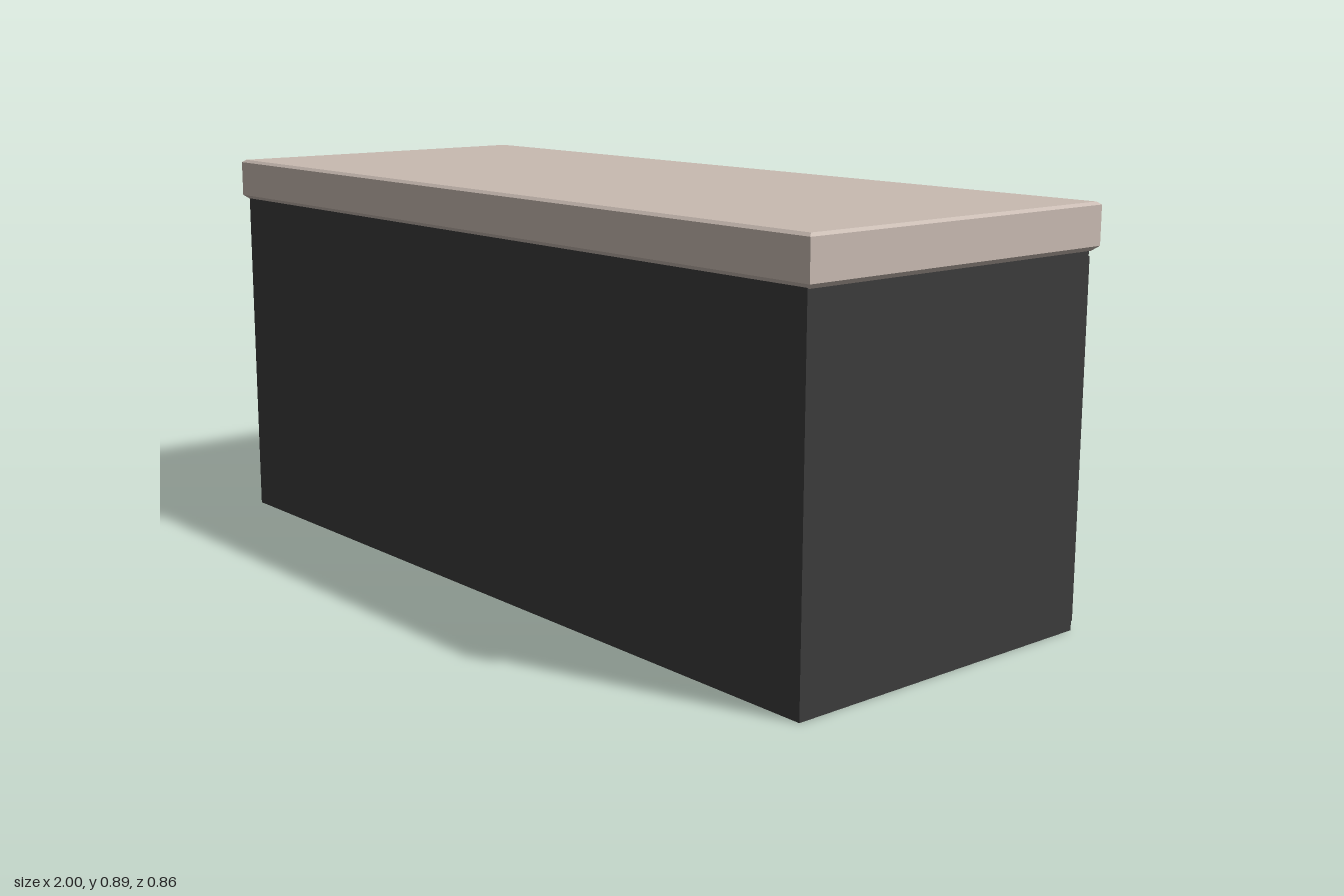
import * as THREE from 'three';

// Loft through rectangular rings [halfWidth, halfHeight, depth], flat shaded, both ends capped
function rectLoft(rings) {
  const pos = [], idx = [];
  for (const [w, h, d] of rings) pos.push(-w, -h, d, w, -h, d, w, h, d, -w, h, d);
  for (let k = 0; k < rings.length - 1; k++) {
    for (let i = 0; i < 4; i++) {
      const a = k * 4 + i, b = k * 4 + (i + 1) % 4;
      idx.push(a, b, b + 4, a, b + 4, a + 4);
    }
  }
  const e = (rings.length - 1) * 4;
  idx.push(0, 2, 1, 0, 3, 2, e, e + 1, e + 2, e, e + 2, e + 3);
  const indexed = new THREE.BufferGeometry();
  indexed.setAttribute('position', new THREE.Float32BufferAttribute(pos, 3));
  indexed.setIndex(idx);
  const geo = indexed.toNonIndexed();
  geo.computeVertexNormals();
  return geo;
}

// U-shaped pull with rounded corners, feet on the door face
function handleGeometry() {
  const v = (y, z) => new THREE.Vector3(0, y, z);
  const lo = 0.605, hi = 0.718, foot = -0.382, out = -0.421, r = 0.02;
  const path = new THREE.CurvePath();
  path.add(new THREE.LineCurve3(v(lo, foot), v(lo, out + r)));
  path.add(new THREE.QuadraticBezierCurve3(v(lo, out + r), v(lo, out), v(lo + r, out)));
  path.add(new THREE.LineCurve3(v(lo + r, out), v(hi - r, out)));
  path.add(new THREE.QuadraticBezierCurve3(v(hi - r, out), v(hi, out), v(hi, out + r)));
  path.add(new THREE.LineCurve3(v(hi, out + r), v(hi, foot)));
  return new THREE.TubeGeometry(path, 48, 0.008, 12, false);
}

export function createModel() {
  const group = new THREE.Group();
  const dark = new THREE.MeshStandardMaterial({ color: 0x3b3b3b });
  dark.name = 'charcoal';
  const beige = new THREE.MeshStandardMaterial({ color: 0xc8bab1 });
  beige.name = 'warm beige';

  const add = (name, geo, mat, x = 0, y = 0, z = 0) => {
    const mesh = new THREE.Mesh(geo, mat);
    mesh.name = name;
    mesh.position.set(x, y, z);
    group.add(mesh);
    return mesh;
  };

  // Cabinet carcass
  add('cabinetBody', new THREE.BoxGeometry(1.97, 0.792, 0.79), dark, 0, 0.396, 0.025);

  // Worktop slab with small bevels above and below
  const top = rectLoft([
    [0.988, 0.3955, 0.79], [1, 0.4075, 0.8], [1, 0.4075, 0.882], [0.992, 0.3995, 0.888],
  ]);
  top.rotateX(-Math.PI / 2);
  add('worktop', top, beige, 0, 0, 0.0225);

  // Three doors with a recessed panel, on the back side
  for (const [x, w] of [[0.6625, 0.3175], [0, 0.3175], [-0.6625, 0.3175]]) {
    const h = 0.386;
    const door = rectLoft([
      [w, h, 0], [w - 0.005, h - 0.006, 0.017],
      [w - 0.055, h - 0.062, 0.017], [w - 0.078, h - 0.085, 0.004],
    ]);
    door.rotateY(Math.PI);
    add('door', door, dark, x, 0.396, -0.37);
  }

  // Door handles
  const handle = handleGeometry();
  for (const x of [0.373, 0.288, -0.375]) add('doorHandle', handle, beige, x);

  return group;
}
